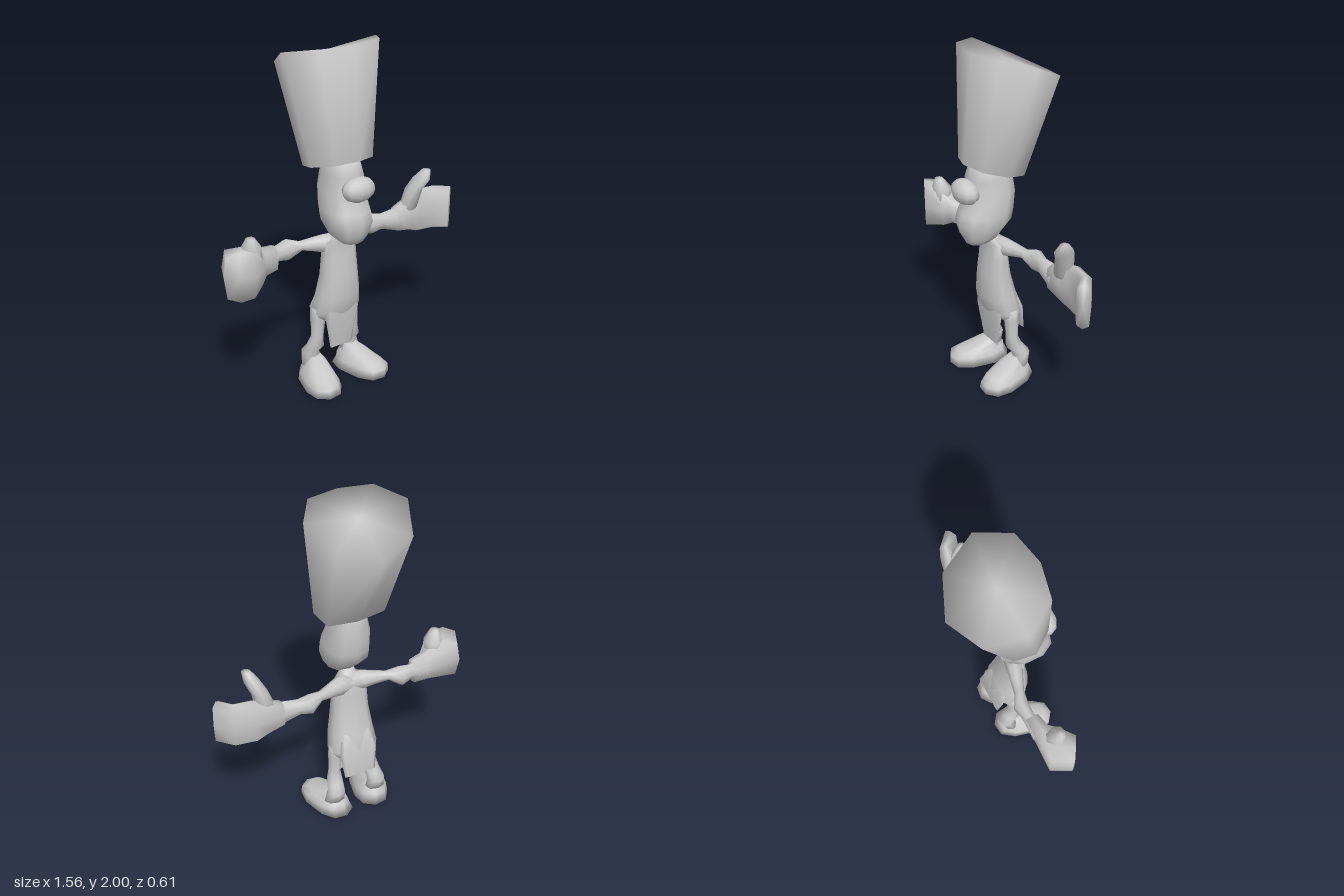
import * as THREE from 'three';

const MID = -0.0525; // the body's own centre line
const mirrorX = (x) => 2 * MID - x;

// Ring of points around a section [x, y, z, a, b, k]: a and b are the half
// sizes across the axis, k slants the ring along z, p below 1 makes it boxier.
function ring([x, y, z, a, b, k = 0], axis, n, p) {
  const pts = [];
  for (let i = 0; i < n; i++) {
    const t = (i / n) * Math.PI * 2;
    const bend = (v) => (Math.abs(v) < 1e-6 ? 0 : Math.sign(v) * Math.abs(v) ** p);
    const u = a * bend(Math.cos(t)), v = b * bend(Math.sin(t));
    if (axis === 'y') pts.push([x + v, y + k * u, z + u]);
    else pts.push([x + k * v, y + u, z + v]);
  }
  return pts;
}

// Smooth skin through rings, closed by a fan at both ends
function skin(rings) {
  const n = rings[0].length, last = (rings.length - 1) * n, pos = rings.flat(2), idx = [];
  for (let r = 0; r < last; r += n) {
    for (let i = 0; i < n; i++) {
      const a = r + i, b = r + ((i + 1) % n);
      idx.push(a, b, b + n, a, b + n, a + n);
    }
  }
  const mean = (pts) => [0, 1, 2].map((c) => pts.reduce((s, q) => s + q[c], 0) / n);
  pos.push(...mean(rings[0]), ...mean(rings[rings.length - 1]));
  for (let i = 0; i < n; i++) {
    const j = (i + 1) % n;
    idx.push(j, i, last + n, last + i, last + j, last + n + 1);
  }
  const g = new THREE.BufferGeometry();
  g.setAttribute('position', new THREE.Float32BufferAttribute(pos, 3));
  g.setIndex(idx);
  g.computeVertexNormals();
  return g;
}

function loft(sections, axis, n = 8, p = 1) {
  const w = { x: 0, y: 1 }[axis];
  const list = sections[0][w] > sections[sections.length - 1][w] ? [...sections].reverse() : sections;
  return skin(list.map((s) => ring(s, axis, n, p)));
}

export function createModel() {
  const group = new THREE.Group();
  const grey = new THREE.MeshStandardMaterial({ color: 0xc8c8c8, side: THREE.DoubleSide });
  grey.name = 'plain grey';
  const add = (name, geometry) => {
    const m = new THREE.Mesh(geometry, grey);
    m.name = name;
    group.add(m);
    return m;
  };

  // Tall flaring hat with an eight-sided slanted top
  const upper = [[0, 2.0, 0.19], [0.19, 2.0, 0.15], [0.298, 1.965, -0.02], [0.215, 1.86, -0.22], [0, 1.81, -0.31]];
  const lower = [[0, 1.4, 0.245], [0.12, 1.385, 0.2], [0.2, 1.36, 0.09], [0.175, 1.33, -0.025], [0, 1.325, -0.05]];
  const around = (h) => [...h, ...h.slice(1, 4).reverse().map(([x, y, z]) => [-x, y, z])]
    .map(([x, y, z]) => [x + MID, y, z]);
  add('hat', skin([around(lower), around(upper)]));

  // Head with a jutting muzzle
  add('head', loft([
    [MID, 0.92, 0.165, 0.07, 0.065],
    [MID, 0.96, 0.15, 0.105, 0.105],
    [MID, 1.04, 0.125, 0.157, 0.132],
    [MID, 1.1, 0.108, 0.155, 0.13],
    [MID, 1.2, 0.075, 0.133, 0.12],
    [MID, 1.3, 0.085, 0.135, 0.1],
    [MID, 1.385, 0.08, 0.11, 0.085],
  ], 'y', 10, 0.85));

  // Broad round nose
  const nose = add('nose', new THREE.SphereGeometry(1, 10, 8));
  nose.scale.set(0.1, 0.07, 0.067);
  nose.position.set(MID, 1.24, 0.238);

  // Neck, torso and skirt of the tunic
  add('torso', loft([
    [MID, 0.98, 0.1, 0.035, 0.035],
    [MID, 0.92, 0.08, 0.045, 0.045],
    [MID, 0.885, 0.057, 0.055, 0.1],
    [MID, 0.8, 0.057, 0.06, 0.107],
    [MID, 0.68, 0.057, 0.076, 0.115],
    [MID, 0.54, 0.042, 0.095, 0.135],
    [MID, 0.44, 0.018, 0.098, 0.15],
    [MID, 0.4, 0.015, 0.075, 0.135],
  ], 'y', 10, 0.8));
  add('frontFlap', loft([
    [MID, 0.56, 0.085, 0.025, 0.09],
    [MID, 0.44, 0.088, 0.024, 0.115],
    [MID, 0.21, 0.08, 0.004, 0.073],
  ], 'y', 8, 0.5));
  add('backFlap', loft([
    [MID, 0.56, -0.02, 0.02, 0.09],
    [MID, 0.44, -0.06, 0.02, 0.12],
    [MID, 0.285, -0.086, 0.005, 0.1],
  ], 'y', 8, 0.5));

  // Arms, legs and feet on both sides
  const arm = [
    [MID, 0.865, 0.05, 0.055, 0.05],
    [0.02, 0.865, 0.04, 0.06, 0.05],
    [0.08, 0.87, 0.02, 0.045, 0.04],
    [0.16, 0.872, -0.005, 0.028, 0.03],
    [0.235, 0.86, -0.03, 0.065, 0.045],
    [0.3, 0.86, -0.022, 0.048, 0.036],
    [0.43, 0.848, -0.01, 0.08, 0.045],
  ];
  const leg = [
    [0.055, 0.46, 0.015, 0.045, 0.045],
    [0.062, 0.4, 0.015, 0.045, 0.042],
    [0.068, 0.28, 0.015, 0.034, 0.038],
    [0.073, 0.21, 0.0, 0.052, 0.05],
    [0.082, 0.16, -0.04, 0.05, 0.055],
    [0.085, 0.09, -0.02, 0.05, 0.066],
  ];
  const foot = [
    [0, 0, 0, 0.185, 0.11],
    [0.005, 0.05, 0.01, 0.172, 0.098],
    [0, 0.075, -0.01, 0.15, 0.08],
    [0, 0.11, -0.045, 0.07, 0.062],
    [0, 0.14, -0.08, 0.035, 0.035],
  ];
  for (const [side, flip] of [['left', false], ['right', true]]) {
    const place = (list) => list.map(([x, ...rest]) => [flip ? mirrorX(x) : x, ...rest]);
    add(side + 'Arm', loft(place(arm), 'x'));
    add(side + 'Leg', loft(place(leg), 'y'));
    const shoe = add(side + 'Foot', loft(foot.map(([x, ...rest]) => [flip ? -x : x, ...rest]), 'y', 10, 0.8));
    shoe.position.set(flip ? mirrorX(0.092) : 0.092, 0, 0.072);
    shoe.rotation.y = flip ? -0.25 : 0.25;
  }

  // Open left hand, curling forward, with the thumb raised
  add('leftHand', loft([
    [0.4, 0.85, -0.012, 0.072, 0.042],
    [0.5, 0.86, -0.015, 0.105, 0.048],
    [0.57, 0.86, -0.022, 0.135, 0.042],
    [0.68, 0.86, -0.005, 0.137, 0.036, -0.4],
    [0.75, 0.865, 0.063, 0.133, 0.026, -1.2],
  ], 'x', 8, 0.5));
  add('leftThumb', loft([
    [0.49, 0.9, -0.01, 0.045, 0.06],
    [0.52, 1.02, 0.005, 0.055, 0.047],
    [0.55, 1.085, 0.035, 0.06, 0.043],
    [0.572, 1.142, 0.05, 0.025, 0.026],
  ], 'y'));

  // Clenched right hand, flaring from the wrist to a slanted blunt end
  add('rightHand', loft([
    [-0.43, 0.85, -0.01, 0.07, 0.042],
    [-0.52, 0.852, 0, 0.08, 0.05, 0.2],
    [-0.635, 0.86, 0.015, 0.125, 0.068, 1.4],
    [-0.708, 0.858, 0.107, 0.143, 0.043, 1.7],
  ], 'x', 8, 0.5));
  add('rightThumb', loft([
    [-0.6, 0.9, 0.04, 0.065, 0.06],
    [-0.605, 0.98, 0.05, 0.055, 0.058],
    [-0.615, 1.042, 0.06, 0.025, 0.025],
  ], 'y'));

  return group;
}
